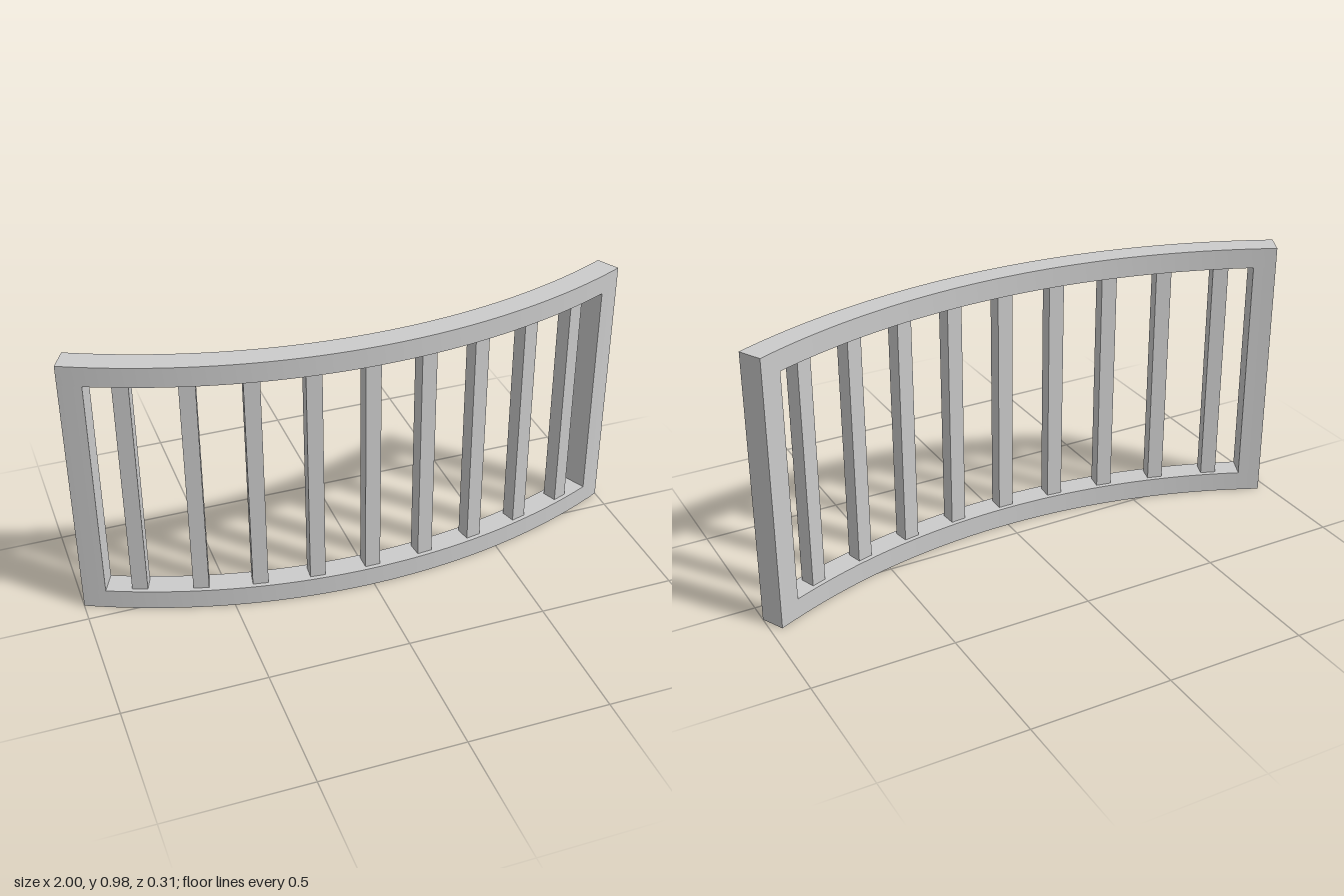
import * as THREE from 'three';
import { toCreasedNormals } from 'three/addons/utils/BufferGeometryUtils.js';

const HEIGHT = 0.975, RAIL = 0.072;      // overall height, rail height
const R_OUT = 2.27, R_IN = 2.182;        // front and back radii of the curve
const CENTRE_Z = -2.115;                 // centre of curvature
const END = Math.asin(1 / R_OUT);        // half angle of the whole panel
const OPENING = Math.asin(0.925 / R_OUT); // half angle of the opening

// Curved block between two angles (0 = straight ahead, positive toward +x)
function arcBlock(a0, a1, y0, y1, segments) {
  const q = -Math.PI / 2;
  const shape = new THREE.Shape();
  shape.absarc(0, -CENTRE_Z, R_OUT, q + a0, q + a1, false);
  shape.absarc(0, -CENTRE_Z, R_IN, q + a1, q + a0, true);
  shape.closePath();
  const geo = new THREE.ExtrudeGeometry(shape, { depth: y1 - y0, bevelEnabled: false, curveSegments: segments });
  geo.rotateX(-Math.PI / 2);
  geo.translate(0, y0, 0);
  return toCreasedNormals(geo, 0.5);
}

export function createModel() {
  const group = new THREE.Group();
  group.name = 'curvedRailing';
  const grey = new THREE.MeshStandardMaterial({ color: 0xcccccc });
  grey.name = 'lightGrey';
  const add = (name, geo) => {
    const mesh = new THREE.Mesh(geo, grey);
    mesh.name = name;
    group.add(mesh);
    return mesh;
  };

  // Frame: two curved rails and the end posts between them
  add('bottomRail', arcBlock(-END, END, 0, RAIL, 48));
  add('topRail', arcBlock(-END, END, HEIGHT - RAIL, HEIGHT, 48));
  add('leftPost', arcBlock(OPENING, END, RAIL, HEIGHT - RAIL, 3));
  add('rightPost', arcBlock(-END, -OPENING, RAIL, HEIGHT - RAIL, 3));

  // Square balusters, each turned to follow the curve
  const radius = (R_OUT + R_IN) / 2;
  const bar = new THREE.BoxGeometry(0.055, HEIGHT - 2 * RAIL, 0.055);
  for (let i = -4; i <= 4; i++) {
    const angle = Math.asin(i * 0.2 / radius);
    const mesh = add('baluster' + (i + 5), bar);
    mesh.position.set(i * 0.2, HEIGHT / 2, CENTRE_Z + radius * Math.cos(angle));
    mesh.rotation.y = angle;
  }
  return group;
}
